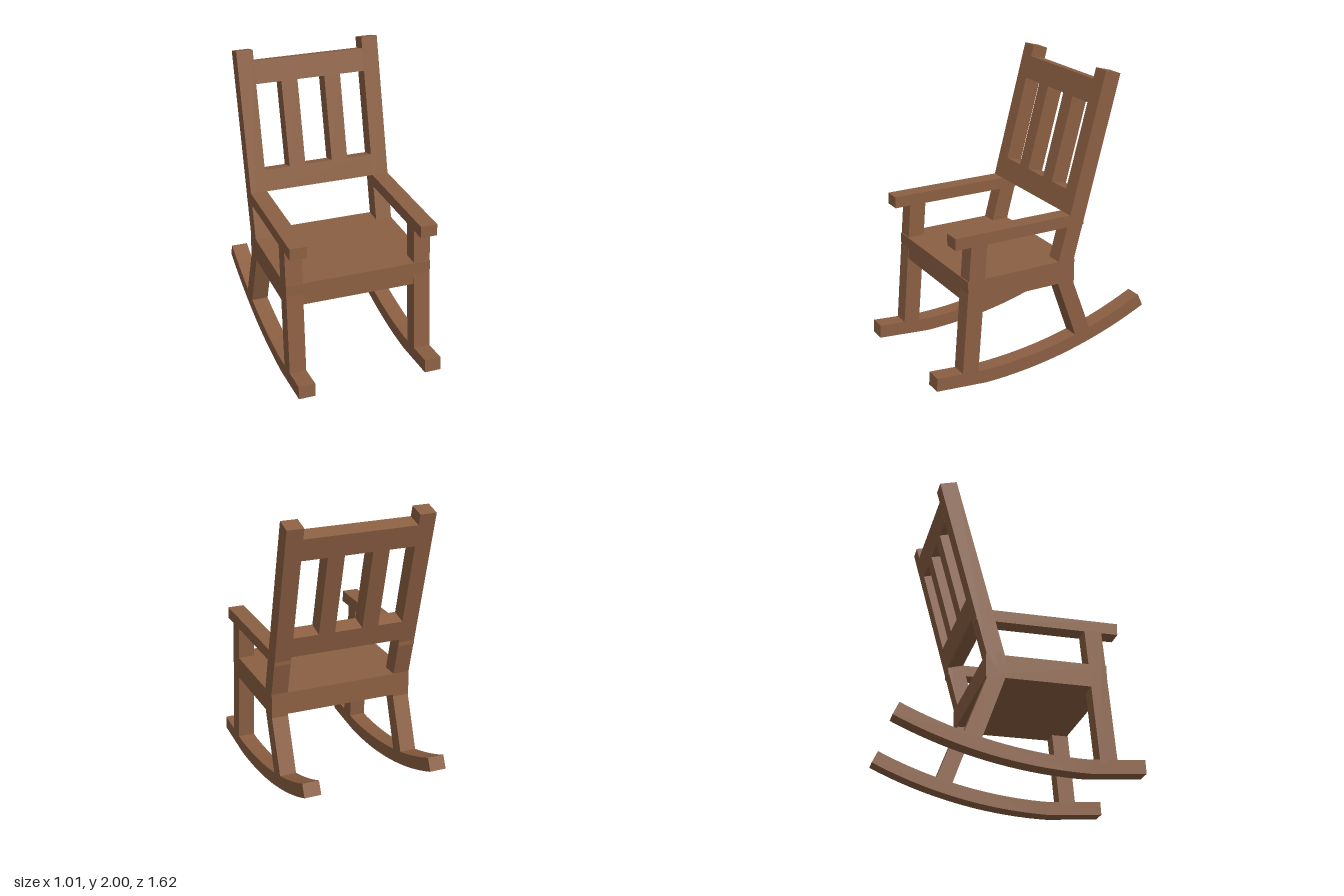
import * as THREE from 'three';

const HALF = 0.505;          // half of the overall width
const BAR = 0.115;           // width of posts, legs, arms and rockers
const INNER = HALF - BAR;
const TILT = THREE.MathUtils.degToRad(15);

export function createModel() {
  const wood = new THREE.MeshStandardMaterial({ color: 0x8b5f42 });
  wood.name = 'brown wood';
  const chair = new THREE.Group();
  chair.name = 'rockingChair';

  const add = (parent, name, geometry) => {
    const mesh = new THREE.Mesh(geometry, wood);
    mesh.name = name;
    parent.add(mesh);
    return mesh;
  };

  const box = (parent, name, [x0, x1], [y0, y1], [z0, z1]) =>
    add(parent, name, new THREE.BoxGeometry(x1 - x0, y1 - y0, z1 - z0)
      .translate((x0 + x1) / 2, (y0 + y1) / 2, (z0 + z1) / 2));

  // Side profile of [z, y] points, extruded across x from x0 to x0 + BAR
  const profile = (name, points, x0) => {
    const shape = new THREE.Shape(points.map(([z, y]) => new THREE.Vector2(z, y)));
    const geometry = new THREE.ExtrudeGeometry(shape, { depth: BAR, bevelEnabled: false });
    add(chair, name, geometry.rotateY(-Math.PI / 2).translate(x0 + BAR, 0, 0));
  };

  // Rocker: long arc behind, short straight toe in front
  const R = 2.98, THICK = 0.093, CENTRE = 0.45, END = 0.434, STEPS = 18;
  const arc = (r) => Array.from({ length: STEPS + 1 }, (_, i) => {
    const a = (END * i) / STEPS;
    return [CENTRE - r * Math.sin(a), R - r * Math.cos(a)];
  });
  const rocker = [[0.81, 0.122], [0.815, 0.03], ...arc(R), ...arc(R - THICK).reverse()];

  // Back post and splayed back leg in one piece
  const backPost = [[-0.436, 2], [-0.548, 1.97], [-0.22, 0.745], [-0.22, 0.575],
    [-0.362, 0.195], [-0.253, 0.155], [-0.1, 0.585], [-0.1, 0.745]];
  const frontLeg = [[0.435, 0.99], [0.551, 0.99], [0.627, 0.08], [0.512, 0.08]];

  for (const [side, x0] of [['left', INNER], ['right', -HALF]]) {
    profile(`${side}Rocker`, rocker, x0);
    profile(`${side}BackPost`, backPost, x0);
    profile(`${side}FrontLeg`, frontLeg, x0);
    box(chair, `${side}Arm`, [x0, x0 + BAR], [0.98, 1.06], [-0.29, 0.663]);
  }

  box(chair, 'seat', [-HALF, HALF], [0.59, 0.747], [-0.224, 0.578]);

  // Backrest, built upright from its lower front edge and then tilted
  const back = new THREE.Group();
  back.name = 'backrest';
  back.position.set(0, 0.745, -0.1);
  back.rotation.x = -TILT;
  const depth = [-0.116, 0];
  box(back, 'lowerRail', [-INNER, INNER], [0.326, 0.476], depth);
  box(back, 'topRail', [-INNER, INNER], [1.066, 1.222], depth);
  for (const [side, x0] of [['left', 0.097], ['right', -0.212]]) {
    box(back, `${side}Slat`, [x0, x0 + BAR], [0.476, 1.066], depth);
  }
  chair.add(back);

  return chair;
}
